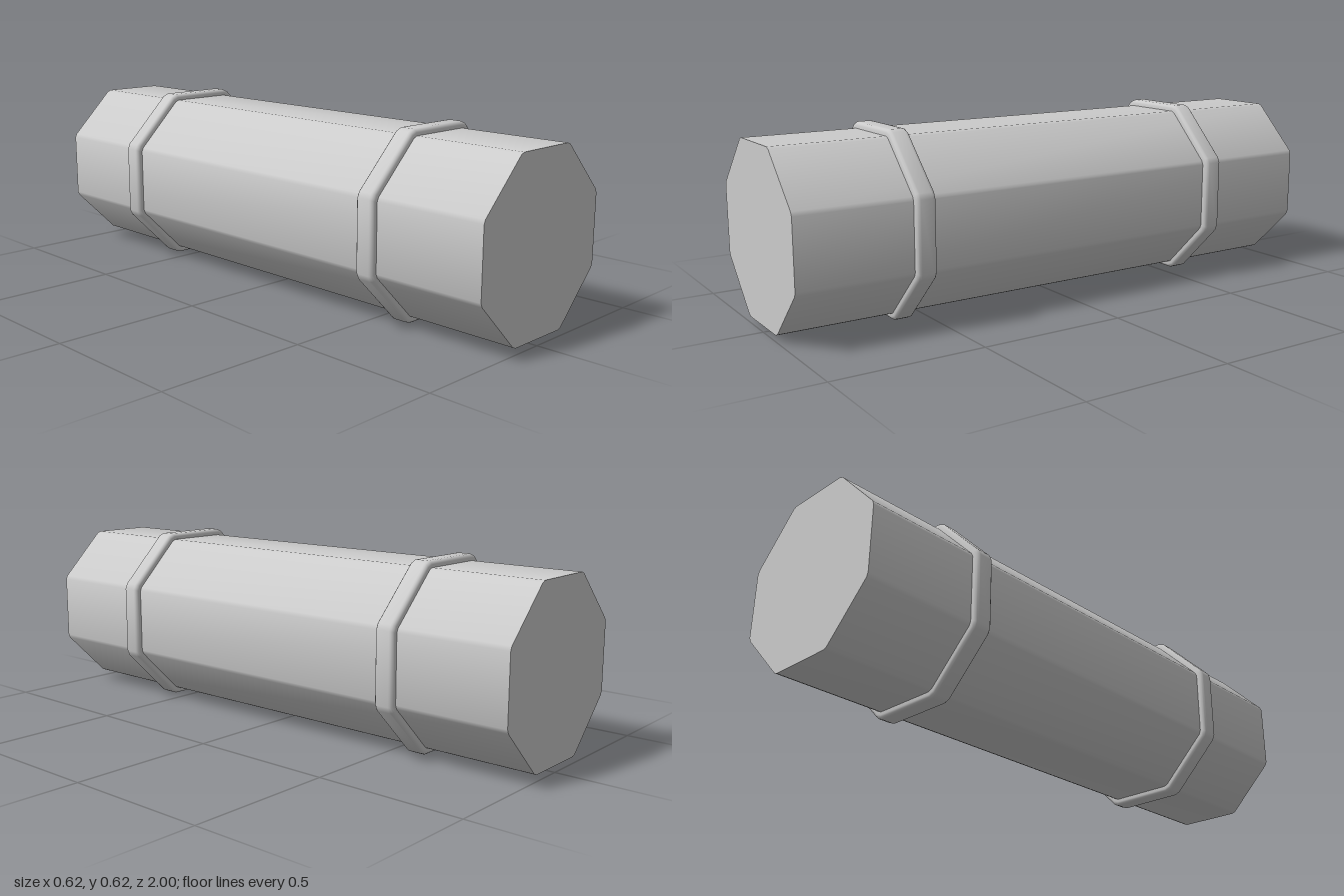
import * as THREE from 'three';
import { toCreasedNormals } from 'three/addons/utils/BufferGeometryUtils.js';

const CENTER_Y = 0.308;
const material = new THREE.MeshStandardMaterial({ color: 0xcccccc });

// Octagon with flat sides at distance r from the axis and each corner cut by c.
function octagon(r, c) {
  const points = [];
  const half = r * Math.tan(Math.PI / 8) - c;
  for (let i = 0; i < 8; i++) {
    const a = (i * Math.PI) / 4;
    for (const s of [-half, half]) {
      points.push(new THREE.Vector2(
        r * Math.cos(a) - s * Math.sin(a),
        r * Math.sin(a) + s * Math.cos(a)));
    }
  }
  return points;
}

// Skin a row of octagonal sections [r, z].
function loft(sections, c) {
  const positions = [];
  const index = [];
  const n = 16;
  sections.forEach(([r, z]) => octagon(r, c).forEach(p => positions.push(p.x, p.y, z)));
  for (let j = 0; j < sections.length - 1; j++) {
    for (let i = 0; i < n; i++) {
      const a = j * n + i;
      const b = j * n + ((i + 1) % n);
      index.push(a, b, b + n, a, b + n, a + n);
    }
  }
  const geometry = new THREE.BufferGeometry();
  geometry.setAttribute('position', new THREE.Float32BufferAttribute(positions, 3));
  geometry.setIndex(index);
  return toCreasedNormals(geometry, 0.8);
}

function add(group, name, geometry, z) {
  const mesh = new THREE.Mesh(geometry, material);
  mesh.name = name;
  mesh.position.set(0, CENTER_Y, z);
  group.add(mesh);
}

export function createModel() {
  const group = new THREE.Group();
  group.name = 'octagonalPipe';

  // Straight closed body along z
  const body = new THREE.ExtrudeGeometry(new THREE.Shape(octagon(0.287, 0.008)),
    { depth: 2, bevelEnabled: false });
  add(group, 'body', toCreasedNormals(body, 0.5), -1);

  // Raised bands with rounded rims
  const rim = [[0.28, 0.034], [0.297, 0.034], [0.303, 0.031], [0.307, 0.026], [0.308, 0.02]];
  const profile = [
    ...rim.map(([r, z]) => [r, -z]),
    ...rim.slice().reverse(),
  ];
  const band = loft(profile, 0.011);
  add(group, 'frontBand', band, 0.583);
  add(group, 'backBand', band, -0.583);

  return group;
}
